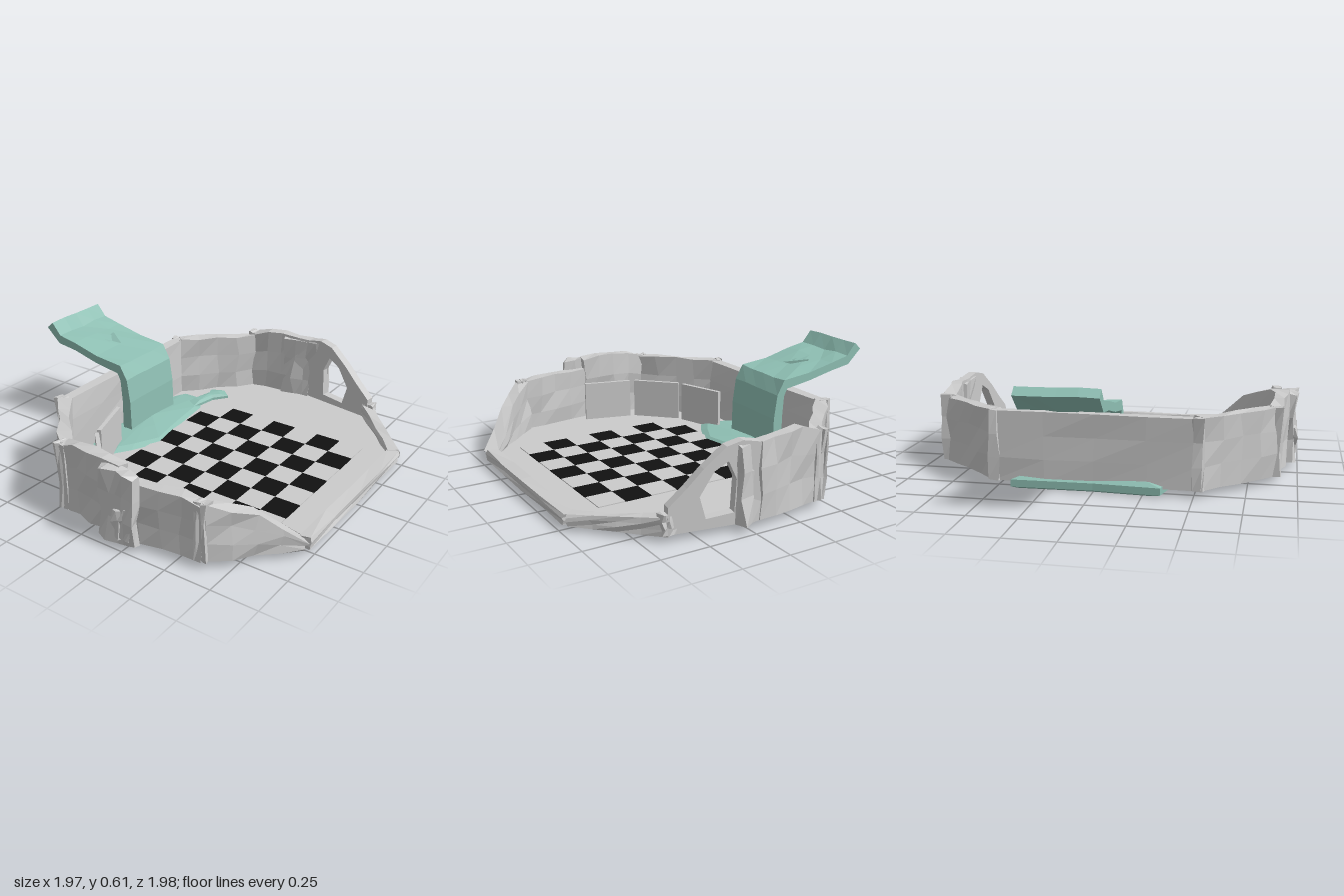
import * as THREE from 'three';

const mat = (color, side = THREE.FrontSide) => new THREE.MeshStandardMaterial({ color, flatShading: true, side });
const stone = mat(0xcccccc), water = mat(0x8fc0b4, THREE.DoubleSide), black = mat(0x111111), white = mat(0xf2f2f2);

// repeatable noise in -1..1 from a position
const noise = (x, y, z, k) => {
  const s = Math.sin(Math.round(x * 500) * 12.9898 + Math.round(y * 500) * 78.233 + Math.round(z * 500) * 37.719 + k * 4.13) * 43758.5453;
  return 2 * (s - Math.floor(s)) - 1;
};

function add(group, name, geometry, material) {
  const mesh = new THREE.Mesh(geometry, material);
  mesh.name = name;
  group.add(mesh);
  return mesh;
}

// place a mesh so its local x runs from a to b on the ground plan
function along(mesh, a, b) {
  mesh.position.set(a[0], 0, a[1]);
  mesh.rotation.y = Math.atan2(a[1] - b[1], b[0] - a[0]);
}

// rough upright slab between two plan points, with evenly spaced top heights
function slab(group, name, a, b, tops, { thick = 0.06, base = 0.04, rough = 0.012, lean = 0 } = {}) {
  const len = Math.hypot(b[0] - a[0], b[1] - a[1]), n = 4;
  const geo = new THREE.BoxGeometry(1, 1, 1, n, 3, 1).toNonIndexed();
  const p = geo.attributes.position;
  for (let i = 0; i < p.count; i++) {
    const u = p.getX(i) + 0.5, v = p.getY(i) + 0.5, w = p.getZ(i);
    const t = u * (tops.length - 1), k = Math.min(Math.floor(t), tops.length - 2);
    const top = THREE.MathUtils.lerp(tops[k], tops[k + 1], t - k);
    const r = (q) => noise(u, v, w, q + a[0] * 31 + a[1] * 17) * rough;
    const y = base + v * (top - base);
    p.setXYZ(i, u * len + r(1), y + r(2) * (v > 0.9 ? 0.7 : 0.4), w * thick + r(3) + lean * v);
  }
  geo.computeVertexNormals();
  along(add(group, name, geo, stone), a, b);
}

// closed solid from scaled copies of one outline; levels are [scale, y]
function loft(outline, [cx, cz], levels) {
  const n = outline.length, pos = [], idx = [];
  levels.forEach(([s, y]) => outline.forEach(([x, z]) => pos.push(cx + (x - cx) * s, y, cz + (z - cz) * s)));
  for (let l = 0; l < levels.length - 1; l++) {
    for (let i = 0; i < n; i++) {
      const a = l * n + i, b = l * n + (i + 1) % n;
      idx.push(a, a + n, b, b, a + n, b + n);
    }
  }
  const geo = new THREE.BufferGeometry();
  geo.setAttribute('position', new THREE.Float32BufferAttribute(pos, 3));
  geo.setIndex(idx);
  const flat = geo.toNonIndexed();
  flat.computeVertexNormals();
  return flat;
}

export function createModel() {
  const model = new THREE.Group();
  model.name = 'walledPool';

  // plan of the wall's centre line
  const A = [-0.51, -0.51], B = [-0.18, -0.87], C = [0.2, -0.92], D = [0.62, -0.85], E = [0.95, -0.5];
  const F = [0.95, 0.51], G = [0.62, 0.86], H = [0.2, 0.92], I = [-0.18, 0.88], J = [-0.51, 0.52];

  // floor
  const plan = [A, B, C, D, E, F, G, H, I, J];
  add(model, 'floor', loft(plan, [0.2, 0], [[0, 0.04], [1, 0.04], [1, 0.055], [0, 0.055]].reverse().map((l) => l)), mat(0xcccccc, THREE.DoubleSide));

  // checkered pavement
  const tiles = new THREE.Group();
  tiles.name = 'checkeredPavement';
  model.add(tiles);
  const cell = 1 / 7;
  const tile = new THREE.BoxGeometry(cell, 0.006, cell);
  for (let i = 0; i < 7; i++) {
    for (let j = 0; j < 7; j++) {
      const t = add(tiles, 'tile', tile, (i + j) % 2 ? black : white);
      t.position.set(-0.22 + (i + 0.5) * cell, 0.057, -0.465 + (j + 0.5) * cell);
    }
  }

  // rocky wall, one slab per side
  const wall = new THREE.Group();
  wall.name = 'rockWall';
  model.add(wall);
  slab(wall, 'rightWall', J, A, [0.4, 0.4], { rough: 0.006 });
  slab(wall, 'backRightWall', A, B, [0.4, 0.4, 0.39]);
  slab(wall, 'backWall', B, C, [0.4, 0.44, 0.425, 0.425]);
  slab(wall, 'backLeftKerb', D, E, [0.13, 0.1, 0.09], { rough: 0.008, base: 0.03 });
  slab(wall, 'leftKerb', E, F, [0.085, 0.085], { rough: 0.008, base: 0.025 });
  slab(wall, 'frontLeftSlope', F, G, [0.07, 0.17, 0.26, 0.3, 0.35], { thick: 0.075 });
  slab(wall, 'frontLeftWall', G, H, [0.34, 0.36, 0.36]);
  slab(wall, 'frontWall', H, I, [0.42, 0.43, 0.44, 0.4]);
  slab(wall, 'frontRightWall', I, J, [0.4, 0.4]);

  // broken arch in the back wall
  const arch = new THREE.Shape([
    [-0.02, 0.04], [-0.02, 0.42], [0.08, 0.44], [0.16, 0.42], [0.27, 0.33], [0.35, 0.25],
    [0.44, 0.17], [0.44, 0.04]].map(([x, y]) => new THREE.Vector2(x, y)));
  arch.holes.push(new THREE.Path([
    [0.12, 0.1], [0.26, 0.09], [0.29, 0.2], [0.22, 0.31], [0.15, 0.35], [0.11, 0.26]].map(([x, y]) => new THREE.Vector2(x, y))));
  const archGeo = new THREE.ExtrudeGeometry(arch, { depth: 0.05, bevelEnabled: false });
  archGeo.translate(0, 0, -0.025);
  along(add(wall, 'brokenArch', archGeo, stone), C, D);

  // loose rock slabs against the outside
  slab(wall, 'backRock', [0.02, -0.89], [0.31, -0.95], [0.42, 0.4, 0.42], { thick: 0.05, lean: 0.02, rough: 0.015 });
  slab(wall, 'frontRock', [0.1, 0.955], [0.31, 0.955], [0.41, 0.42, 0.4], { thick: 0.05, base: 0.03, rough: 0.016 });
  slab(wall, 'frontRock', [0.2, 0.97], [0.29, 0.965], [0.2, 0.24], { thick: 0.03, base: 0.06, rough: 0.014 });
  for (const [x, z, a] of [[-0.52, -0.51, 0.4], [-0.19, 0.885, 0.4], [-0.19, -0.885, 0.4], [-0.525, 0.52, 0.4], [0.62, 0.87, 0.35], [0.63, -0.85, 0.14]]) {
    slab(wall, 'cornerRock', [x - 0.03, z], [x + 0.03, z], [a, a], { thick: 0.05, rough: 0.009 });
  }

  // thin standing panels inside the wall
  for (const [a, b] of [[[-0.37, 0.25], [-0.28, 0.52]], [[-0.27, 0.55], [-0.07, 0.75]], [[-0.04, 0.76], [0.23, 0.83]]]) {
    slab(model, 'innerPanel', a, b, [0.28, 0.28], { thick: 0.022, base: 0.05, rough: 0 });
  }

  // splash pool, spilling under the wall
  const pool = [[-0.56, -0.42], [-0.5, -0.36], [-0.44, -0.49], [-0.33, -0.49], [-0.25, -0.38], [-0.23, -0.2], [-0.21, -0.05],
    [-0.18, 0.13], [-0.26, 0.29], [-0.32, 0.38], [-0.45, 0.37], [-0.57, 0.34], [-0.55, 0]];
  add(model, 'splashPool', loft(pool, [-0.39, -0.07],
    [[0, 0.02], [0.75, 0.02], [0.9, 0.005], [1, 0.015], [1, 0.052], [0.85, 0.072], [0.4, 0.085], [0, 0.095]].reverse()), water);
  const tongue = [[-0.35, -0.36], [-0.3, -0.56], [-0.32, -0.6], [-0.25, -0.63], [-0.19, -0.58], [-0.25, -0.5], [-0.28, -0.34]];
  add(model, 'splashTongue', loft(tongue, [-0.28, -0.5], [[0, 0.09], [0.6, 0.085], [1, 0.07], [1, 0.05], [0, 0.05]]), water);

  // waterfall sheet: upper and lower edge of its side profile
  const sheet = [[-0.945, 0.605, -0.985, 0.57], [-0.89, 0.545, -0.9, 0.495], [-0.78, 0.52, -0.78, 0.475], [-0.62, 0.485, -0.62, 0.44],
    [-0.45, 0.455, -0.47, 0.405], [-0.405, 0.38, -0.45, 0.37], [-0.385, 0.25, -0.44, 0.25], [-0.38, 0.06, -0.44, 0.06]];
  const fall = new THREE.BoxGeometry(1, 1, 1, sheet.length - 1, 1, 4).toNonIndexed();
  const p = fall.attributes.position;
  for (let i = 0; i < p.count; i++) {
    const k = Math.round((p.getX(i) + 0.5) * (sheet.length - 1)), o = p.getY(i) > 0 ? 0 : 2, w = p.getZ(i);
    const r = noise(k / 10, 0, w, 5) * (k > 5 ? 0.003 : 0.008);
    p.setXYZ(i, sheet[k][o], sheet[k][o + 1] + r, -0.07 + w * 0.4);
  }
  fall.computeVertexNormals();
  add(model, 'waterfall', fall, water);

  // ripples on the sheet
  for (const [x, z, turn] of [[-0.72, -0.03, 0.5], [-0.66, -0.09, -0.4]]) {
    const ripple = add(model, 'ripple', new THREE.ConeGeometry(0.03, 0.14, 3), water);
    ripple.position.set(x, 0.495, z);
    ripple.rotation.set(0, turn, -1.5);
    ripple.scale.z = 1.6;
  }
  return model;
}
